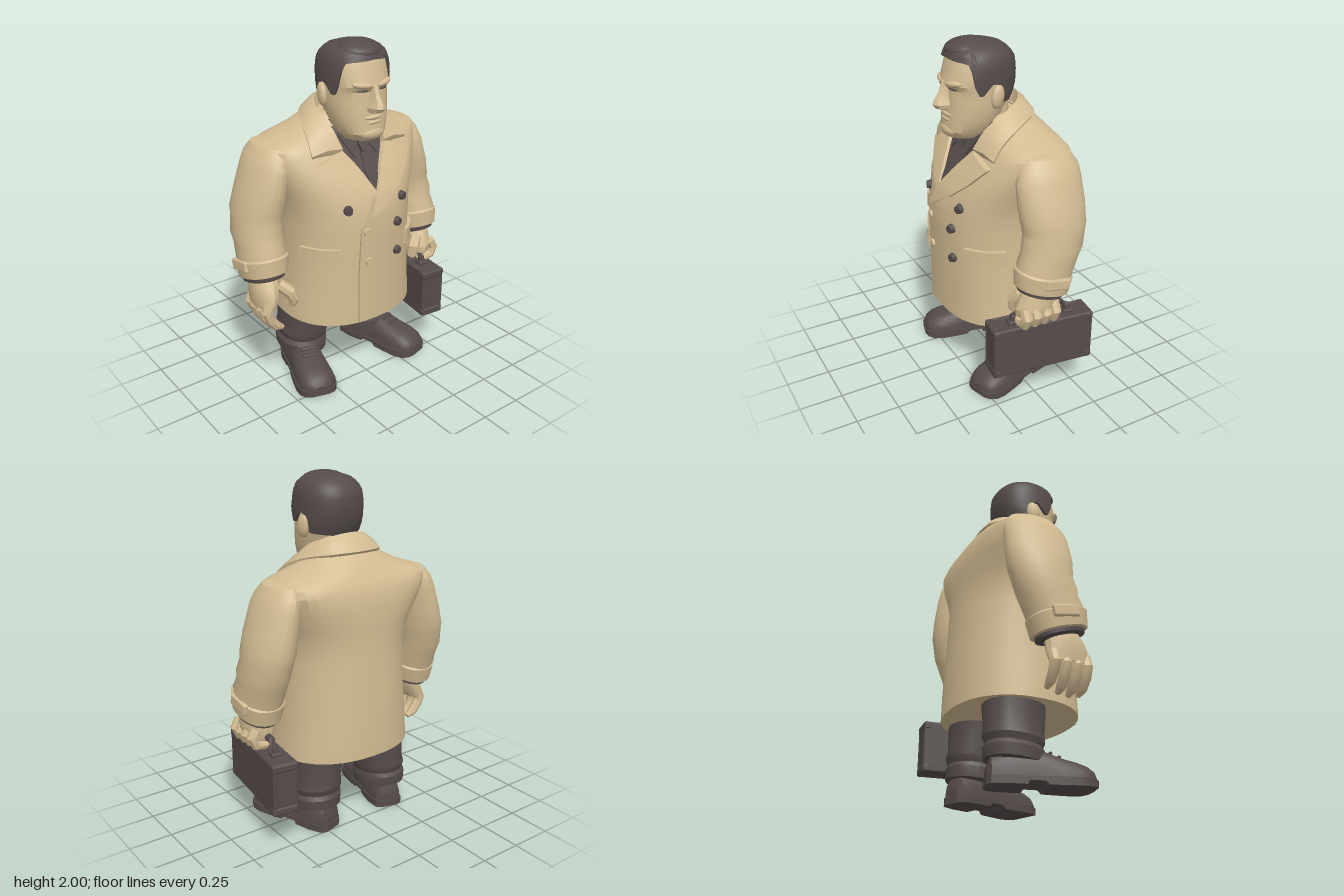
import * as THREE from 'three';
import { toCreasedNormals } from 'three/addons/utils/BufferGeometryUtils.js';
import { RoundedBoxGeometry } from 'three/addons/geometries/RoundedBoxGeometry.js';

const tan = new THREE.MeshStandardMaterial({ color: 0xd3bc93 });
tan.name = 'tan';
const dark = new THREE.MeshStandardMaterial({ color: 0x554c4a });
dark.name = 'charcoal';

const lerp = THREE.MathUtils.lerp;
const spow = (v, p) => Math.sign(v) * Math.abs(v) ** p;

function add(parent, name, geo, mat, x = 0, y = 0, z = 0) {
  const m = new THREE.Mesh(geo, mat);
  m.name = name;
  m.position.set(x, y, z);
  parent.add(m);
  return m;
}

function build(pos, index) {
  const g = new THREE.BufferGeometry();
  g.setAttribute('position', new THREE.Float32BufferAttribute(pos.flat(), 3));
  g.setIndex(index);
  return toCreasedNormals(g, 0.5);
}

// Closed skin over rings of points, capped at both ends and turned outward
function skin(parent, name, rings, mat) {
  const n = rings[0].length, last = (rings.length - 1) * n, pos = rings.flat(), tris = [];
  for (let i = 0; i < rings.length - 1; i++) for (let j = 0; j < n; j++) {
    const a = i * n + j, b = i * n + (j + 1) % n;
    tris.push([a, b, b + n], [a, b + n, a + n]);
  }
  for (const [start, flip] of [[0, 1], [last, 0]]) {
    const mid = [0, 1, 2].map(k => pos.slice(start, start + n).reduce((s, p) => s + p[k] / n, 0));
    const c = pos.push(mid) - 1;
    for (let j = 0; j < n; j++) {
      const a = start + j, b = start + (j + 1) % n;
      tris.push(flip ? [c, b, a] : [c, a, b]);
    }
  }
  let vol = 0;
  const v = pos.map(p => new THREE.Vector3(...p));
  for (const [a, b, c] of tris) vol += v[a].dot(v[b].clone().cross(v[c]));
  if (vol < 0) tris.forEach(t => t.reverse());
  return add(parent, name, build(pos, tris.flat()), mat);
}

// Section: [y, cx, cz, rx, rz, roundness, tilt along z]
function point([y, cx, cz, rx, rz, n = 2, tilt = 0], a, grow = 0) {
  const z = (rz + grow) * spow(Math.cos(a), 2 / n);
  return [cx + (rx + grow) * spow(Math.sin(a), 2 / n), y + tilt * z, cz + z];
}
const ring = (s, sides) => Array.from({ length: sides }, (_, j) => point(s, j / sides * Math.PI * 2));
const loft = (parent, name, secs, mat, sides = 20) => skin(parent, name, secs.map(s => ring(s, sides)), mat);
// Body section from half width, front z, back z, roundness and tilt
const body = ([y, w, f, b, n = 2.25, tilt = 0]) => [y, 0, (f + b) / 2, w, (f - b) / 2, n, tilt];

// Piecewise linear lookup by the first entry of each row
function lookup(rows, v) {
  let i = 0;
  while (i < rows.length - 2 && v > rows[i + 1][0]) i++;
  const t = THREE.MathUtils.clamp((v - rows[i][0]) / (rows[i + 1][0] - rows[i][0]), 0, 1);
  return rows[i].map((a, k) => lerp(a, rows[i + 1][k], t));
}

// Tapered limb along points [x, y, z, radius]
function limb(parent, name, pts, mat, sides = 8) {
  const v = pts.map(p => new THREE.Vector3(p[0], p[1], p[2]));
  const rings = pts.map((p, i) => {
    const t = v[Math.min(i + 1, v.length - 1)].clone().sub(v[Math.max(i - 1, 0)]).normalize();
    const side = Math.abs(t.z) < 0.8 ? new THREE.Vector3(0, 0, 1) : new THREE.Vector3(1, 0, 0);
    side.addScaledVector(t, -side.dot(t)).normalize();
    const up = t.clone().cross(side);
    return Array.from({ length: sides }, (_, j) => {
      const a = j / sides * Math.PI * 2;
      return v[i].clone().addScaledVector(side, Math.cos(a) * p[3]).addScaledVector(up, Math.sin(a) * p[3]).toArray();
    });
  });
  return skin(parent, name, rings, mat);
}

const COAT = [[.435, .41, .345, -.355, 2.3, -.035], [.6, .4, .345, -.355], [.8, .385, .345, -.345], [1, .385, .347, -.335],
  [1.1, .39, .34, -.33], [1.2, .42, .31, -.33, 2.4], [1.3, .46, .255, -.33, 2.7], [1.4, .495, .19, -.318, 3],
  [1.44, .495, .165, -.3, 3], [1.465, .46, .152, -.285, 2.8], [1.49, .39, .142, -.27, 2.5], [1.52, .31, .13, -.25],
  [1.56, .235, .12, -.215], [1.6, .17, .1, -.175]].map(body);
const HEAD = [[1.465, .06, .23, .05], [1.48, .1, .275, .02], [1.52, .132, .3, 0], [1.58, .153, .294, -.02],
  [1.64, .166, .288, -.045], [1.7, .172, .283, -.075], [1.745, .172, .28, -.088], [1.775, .174, .3, -.092],
  [1.83, .172, .283, -.092], [1.88, .165, .27, -.085], [1.92, .148, .255, -.06], [1.95, .115, .22, -.02],
  [1.965, .075, .18, .03], [1.972, .02, .1, .07]].map(body);

// Point on the front of the coat, lifted along its outward normal
function onCoat(x, y, off) {
  const [, , cz, rx, rz, n] = lookup(COAT, y);
  const u = Math.min(Math.abs(x / rx), .995), w = (1 - u ** n) ** (1 / n);
  const nx = Math.sign(x) * u ** (n - 1) / rx, nz = w ** (n - 1) / rz, l = Math.hypot(nx, nz);
  return { p: [x + nx / l * off, y, cz + rz * w + nz / l * off], turn: Math.atan2(nx, nz) };
}

// Cloth panel draped on the coat between a left and a right edge, with sunk borders
function panel(parent, name, left, right, mat, off, nu = 6, nv = 12) {
  const pos = [], idx = [], W = nu + 3;
  const edge = (pts, v) => lookup(pts.map((p, i) => [i / (pts.length - 1), ...p]), v);
  for (let i = -1; i <= nv + 1; i++) for (let j = -1; j <= nu + 1; j++) {
    const v = THREE.MathUtils.clamp(i / nv, 0, 1), u = THREE.MathUtils.clamp(j / nu, 0, 1);
    const a = edge(left, v), b = edge(right, v);
    const rim = i < 0 || j < 0 || i > nv || j > nu;
    pos.push(onCoat(lerp(a[1], b[1], u), lerp(a[2], b[2], u), rim ? -.01 : typeof off === 'function' ? off(u) : off).p);
  }
  for (let i = 0; i < nv + 2; i++) for (let j = 0; j < W - 1; j++) {
    const a = i * W + j;
    idx.push(a, a + 1, a + W + 1, a, a + W + 1, a + W);
  }
  return add(parent, name, build(pos, idx), mat);
}

function makeCoat(g) {
  loft(g, 'coatBody', COAT, tan, 40);
  panel(g, 'frontOverlap', [[-.13, .432], [-.13, .75], [-.12, 1], [-.05, 1.12]],
    [[.16, .432], [.16, .75], [.16, 1], [.1, 1.16]], tan, u => .014 - .016 * u);
  panel(g, 'shirtFront', [[-.02, 1.18], [-.06, 1.3], [-.13, 1.42], [-.17, 1.54]],
    [[.01, 1.18], [.05, 1.3], [.13, 1.42], [.17, 1.54]], dark, .008);
  panel(g, 'tie', [[-.015, 1.2], [-.04, 1.3], [-.02, 1.42]], [[.015, 1.2], [.04, 1.3], [.02, 1.42]], dark, .018, 3);
  panel(g, 'tieKnot', [[-.02, 1.4], [-.035, 1.46]], [[.02, 1.4], [.035, 1.46]], dark, .035, 3, 3);
  panel(g, 'leftLapel', [[-.08, 1.07], [0, 1.22], [.07, 1.33], [.14, 1.425]],
    [[-.04, 1.08], [.12, 1.18], [.22, 1.27], [.31, 1.375]], tan, .032);
  panel(g, 'rightLapel', [[-.03, 1.185], [-.13, 1.24], [-.2, 1.29], [-.3, 1.37]],
    [[-.005, 1.195], [-.06, 1.3], [-.1, 1.37], [-.14, 1.425]], tan, .028);
  for (const s of [1, -1]) {
    const flap = [[[.225, .81], [.225, .905]], [[.372, .825], [.368, .905]]].map(e => e.map(([x, y]) => [s * x, y]));
    const tip = [[[.02, 1.46], [.03, 1.51]], [[.075, 1.38], [.135, 1.5]]].map(e => e.map(([x, y]) => [s * x, y]));
    if (s < 0) { flap.reverse(); tip.reverse(); }
    panel(g, 'pocketFlap', ...flap, tan, .02, 6, 3);
    panel(g, 'shirtCollarTip', ...tip, dark, .022, 3, 4);
  }
  // Turned-down collar swept around the back of the neck
  const half = [[.14, 1.435, .2, .32, 1.42, .175], [.165, 1.54, .14, .305, 1.495, .11], [.18, 1.62, .03, .255, 1.56, -.03],
    [.12, 1.67, -.085, .165, 1.59, -.165], [0, 1.69, -.125, 0, 1.595, -.205]];
  const flip = ([a, b, c, d, e, f]) => [-a, b, c, -d, e, f];
  const all = [...half, ...half.slice(0, 4).reverse().map(flip)];
  const curves = [0, 3].map(k => new THREE.CatmullRomCurve3(all.map(r => new THREE.Vector3(r[k], r[k + 1], r[k + 2]))));
  skin(g, 'coatCollar', Array.from({ length: 25 }, (_, i) => {
    const [a, b] = curves.map(c => c.getPoint(i / 24));
    const m = a.clone().lerp(b, .5);
    return [a.toArray(), [m.x, m.y + .012, m.z], b.toArray(), [b.x * .97, b.y - .025, b.z * .9], [a.x * .92, a.y - .07, a.z * .85]];
  }), tan);
  // Two columns of buttons
  for (const [x, y, m] of [[-.185, 1.125, dark], [.185, 1.125, dark], [-.085, .99, tan], [.135, .99, dark],
    [-.07, .81, tan], [.14, .81, dark]]) {
    const { p, turn } = onCoat(x, y, .008);
    add(g, 'button', new THREE.CylinderGeometry(.022, .029, .03, 10).rotateX(Math.PI / 2).rotateY(turn), m, ...p);
  }
}

function makeHead(g) {
  loft(g, 'neck', [[1.42, 0, .02, .13, .12], [1.7, 0, .05, .13, .115]], tan);
  loft(g, 'shirtCollar', [[1.42, 0, .02, .17, .14], [1.53, 0, .025, .17, .15, 2, -.12], [1.58, 0, .025, .162, .14, 2, -.15]], dark, 24);
  loft(g, 'head', HEAD, tan, 28);
  loft(g, 'nose', [[1.79, 0, .27, .022, .034], [1.73, 0, .27, .024, .056], [1.69, 0, .27, .036, .085],
    [1.665, 0, .27, .048, .092], [1.642, 0, .27, .044, .072], [1.632, 0, .27, .024, .04]], tan, 10);
  const blob = (name, m, x, y, z, a, b, c) => add(g, name, new THREE.SphereGeometry(1, 14, 10).scale(a, b, c), m, x, y, z);
  blob('upperLip', tan, 0, 1.608, .28, .06, .016, .02);
  blob('lowerLip', tan, 0, 1.582, .28, .052, .014, .021);
  blob('chin', tan, 0, 1.52, .262, .08, .042, .045);
  for (const s of [1, -1]) {
    blob('ear', tan, s * .18, 1.715, .07, .025, .066, .042).rotation.set(-.15, s * .3, 0);
    blob('brow', tan, s * .068, 1.783, .27, .06, .019, .026).rotation.set(0, s * .3, s * .12);
    blob('eye', dark, s * .066, 1.755, .272, .03, .008, .012).rotation.y = s * .25;
  }
  // Hair shell ending at a hairline that varies around the head
  const line = [[0, 1.91], [.75, 1.9], [.95, 1.89], [1.08, 1.81], [1.18, 1.73], [1.4, 1.73],
    [1.5, 1.785], [1.75, 1.785], [1.95, 1.68], [Math.PI, 1.66]];
  const rows = 11, cols = 56;
  skin(g, 'hair', Array.from({ length: rows + 2 }, (_, i) => Array.from({ length: cols }, (_, j) => {
    const a = j / cols * Math.PI * 2, t = Math.min(i / rows, 1);
    const y = lerp(1.988, lookup(line, Math.min(a, Math.PI * 2 - a))[1], t ** 1.6);
    const [x, , z] = point(lookup(HEAD, y - .016), a, i > rows ? -.015 : .015);
    return [x, y, z];
  })), dark);
  blob('hairQuiff', dark, -.005, 1.943, .145, .13, .057, .13).rotation.x = .05;
}

function makeArm(g, s) {
  const S = secs => secs.map(([y, cx, ...r]) => [y, s * cx, ...r]);
  loft(g, 'sleeve', S([[1.468, .42, -.08, .04, .1], [1.453, .435, -.08, .07, .14], [1.4, .45, -.078, .098, .175],
    [1.34, .465, -.073, .11, .19], [1.2, .5, -.075, .124, .195], [1.1, .52, -.08, .136, .187], [1.06, .526, -.078, .13, .18],
    [.98, .54, -.06, .135, .175, 2, .08], [.93, .54, -.045, .128, .165, 2, .15], [.86, .545, -.015, .132, .16, 2, .22],
    [.76, .548, .005, .12, .148, 2, .27]]), tan, 22);
  loft(g, 'coatCuff', S([[.845, .546, -.008, .125, .155, 2.2, .27], [.835, .546, -.006, .136, .163, 2.2, .27],
    [.745, .548, .008, .124, .152, 2.2, .28], [.74, .548, .008, .11, .14, 2.2, .28]]), tan, 22);
  loft(g, 'shirtCuff', S([[.76, .548, .01, .11, .138, 2, .28], [.72, .548, .012, .108, .134, 2, .28],
    [.71, .548, .012, .09, .11, 2, .28]]), dark, 20);
  add(g, 'cuffStrap', new RoundedBoxGeometry(.03, .065, .15, 2, .012), tan, s * .672, .815, -.02).rotation.x = -.2;
}

function makeHands(g) {
  // Left hand closed around the case handle
  loft(g, 'leftHand', [[.76, .55, .01, .075, .09], [.7, .545, .025, .082, .108], [.64, .54, .035, .092, .122],
    [.59, .535, .035, .075, .115], [.57, .53, .035, .045, .09]], tan, 14);
  limb(g, 'leftThumb', [[.5, .7, .1, .035], [.46, .65, .125, .036], [.455, .6, .12, .032], [.48, .565, .1, .018]], tan);
  // Right hand hanging open
  loft(g, 'rightHand', [[.76, -.548, .01, .075, .09], [.69, -.56, .03, .078, .11], [.62, -.575, .04, .062, .122],
    [.57, -.585, .04, .045, .115]], tan, 14);
  limb(g, 'rightThumb', [[-.51, .7, .1, .034], [-.46, .65, .14, .036], [-.44, .6, .145, .031], [-.445, .555, .135, .016]], tan);
  for (let i = 0; i < 4; i++) {
    const z = .13 - i * .06, d = [.01, 0, .005, .025][i];
    limb(g, 'leftFinger', [[.59, .66, z, .03], [.615, .61, z, .033], [.595, .565, z, .031], [.54, .555, z, .028], [.5, .575, z, .016]], tan);
    limb(g, 'rightFinger', [[-.585, .62, z, .031], [-.605, .56, z, .033], [-.59, .5 + d, z, .03],
      [-.55, .45 + d, z, .027], [-.51, .428 + d, z, .014]], tan);
  }
}

function makeLeg(g, s) {
  loft(g, 'trouserLeg', [[.52, .215, -.08, .155, .165], [.42, .218, -.085, .155, .168], [.3, .232, -.09, .138, .16],
    [.25, .237, -.095, .146, .163], [.215, .238, -.095, .134, .15], [.19, .241, -.095, .146, .163],
    [.13, .242, -.095, .14, .16]].map(([y, x, ...r]) => [y, s * x, ...r, 2.2, -.08]), dark, 18);
  const shoe = new THREE.Group();
  shoe.name = 'shoe';
  shoe.position.set(s * .287, 0, .015);
  shoe.rotation.y = s * .28;
  g.add(shoe);
  // Rows: z, half width, top height, sole underside
  const rows = [[-.27, .05, .1, 0], [-.25, .083, .15, 0], [-.17, .1, .18, 0], [-.07, .1, .2, 0], [-.06, .1, .2, .02],
    [.02, .104, .19, .02], [.04, .106, .185, 0], [.12, .115, .155, 0], [.2, .12, .135, 0], [.25, .11, .118, 0],
    [.285, .086, .095, .004], [.303, .05, .065, .01]];
  skin(shoe, 'shoeUpper', rows.map(([z, w, h]) => Array.from({ length: 12 }, (_, j) => {
    const a = j / 11 * Math.PI;
    return [w * .94 * spow(Math.cos(a), .8), .03 + (h - .03) * spow(Math.sin(a), .75), z * .98];
  })), dark);
  skin(shoe, 'shoeSole', rows.map(([z, w, , b]) => [[-w, b, z], [w, b, z], [w, .042, z], [-w, .042, z]]), dark);
  for (const [y, z] of [[.178, .06], [.16, .105]])
    add(shoe, 'shoeLace', new RoundedBoxGeometry(.09, .015, .018, 1, .006), dark, 0, y, z);
}

function makeCase(g) {
  const c = new THREE.Group();
  c.name = 'briefcase';
  c.position.set(.525, .388, -.005);
  c.rotation.y = -.13;
  g.add(c);
  add(c, 'caseBody', new RoundedBoxGeometry(.146, .296, .586, 2, .022), dark);
  for (const x of [-.062, .062]) add(c, 'caseRim', new RoundedBoxGeometry(.024, .302, .594, 2, .012), dark, x);
  for (const y of [-1, 1]) for (const z of [-1, 1])
    add(c, 'caseCorner', new RoundedBoxGeometry(.154, .05, .05, 2, .015), dark, 0, y * .127, z * .274);
  limb(c, 'caseHandle', [[0, .14, -.165, .02], [0, .19, -.16, .02], [0, .22, -.12, .021], [0, .225, 0, .022],
    [0, .22, .12, .021], [0, .19, .16, .02], [0, .14, .165, .02]], dark);
  for (const z of [-.165, .165]) add(c, 'handleMount', new RoundedBoxGeometry(.06, .03, .06, 1, .008), dark, 0, .152, z);
}

export function createModel() {
  const g = new THREE.Group();
  g.name = 'manWithBriefcase';
  makeCoat(g);
  makeHead(g);
  for (const s of [1, -1]) { makeArm(g, s); makeLeg(g, s); }
  makeHands(g);
  makeCase(g);
  return g;
}
